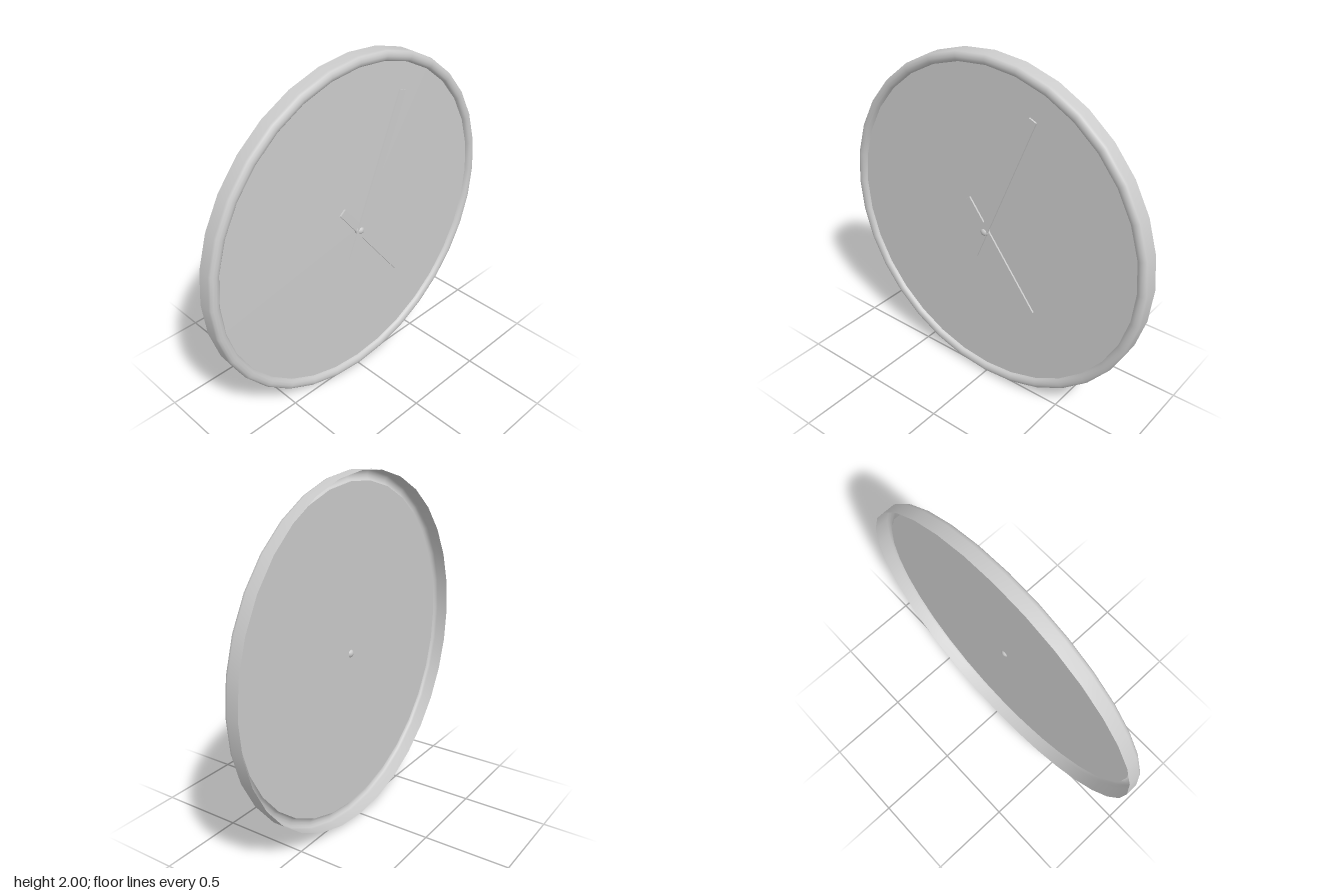
import * as THREE from 'three';

const SIDES = 32;

export function createModel() {
  const model = new THREE.Group();
  const solid = new THREE.MeshStandardMaterial({ color: 0xcccccc });
  const thin = new THREE.MeshStandardMaterial({ color: 0xcccccc, side: THREE.DoubleSide });

  const add = (name, geometry, material) => {
    const mesh = new THREE.Mesh(geometry, material);
    mesh.name = name;
    mesh.position.y = 1;
    model.add(mesh);
    return mesh;
  };

  // Rim: thin wall open at the back, with a rounded lip at the front (facing +x)
  const profile = [
    [1, -0.056], [1, 0.01], [0.996, 0.023], [0.986, 0.032], [0.97, 0.036],
    [0.954, 0.032], [0.944, 0.023], [0.94, 0.01],
  ].map(([r, h]) => new THREE.Vector2(r, h));
  add('rim', new THREE.LatheGeometry(profile, SIDES).rotateZ(-Math.PI / 2), thin);

  // Dial: flat disc closing the lip
  add('dial', new THREE.CircleGeometry(0.94, SIDES).rotateY(Math.PI / 2), thin).position.x = 0.01;

  // Hands: flat bars between two points [z, y] measured from the centre
  const addHand = (name, [z0, y0], [z1, y1], x) => {
    const length = Math.hypot(z1 - z0, y1 - y0);
    const hand = add(name, new THREE.BoxGeometry(0.01, length, 0.046), solid);
    hand.position.set(x, 1 + (y0 + y1) / 2, (z0 + z1) / 2);
    hand.rotation.x = Math.atan2(z1 - z0, y1 - y0);
  };
  addHand('hourHand', [0.126, 0.166], [-0.32, -0.412], 0.026);
  addHand('minuteHand', [0.07, -0.166], [-0.305, 0.738], 0.037);

  // Centre pin: small ball passing through the dial
  add('centrePin', new THREE.SphereGeometry(0.027, 16, 12), solid).position.x = 0.025;

  return model;
}
